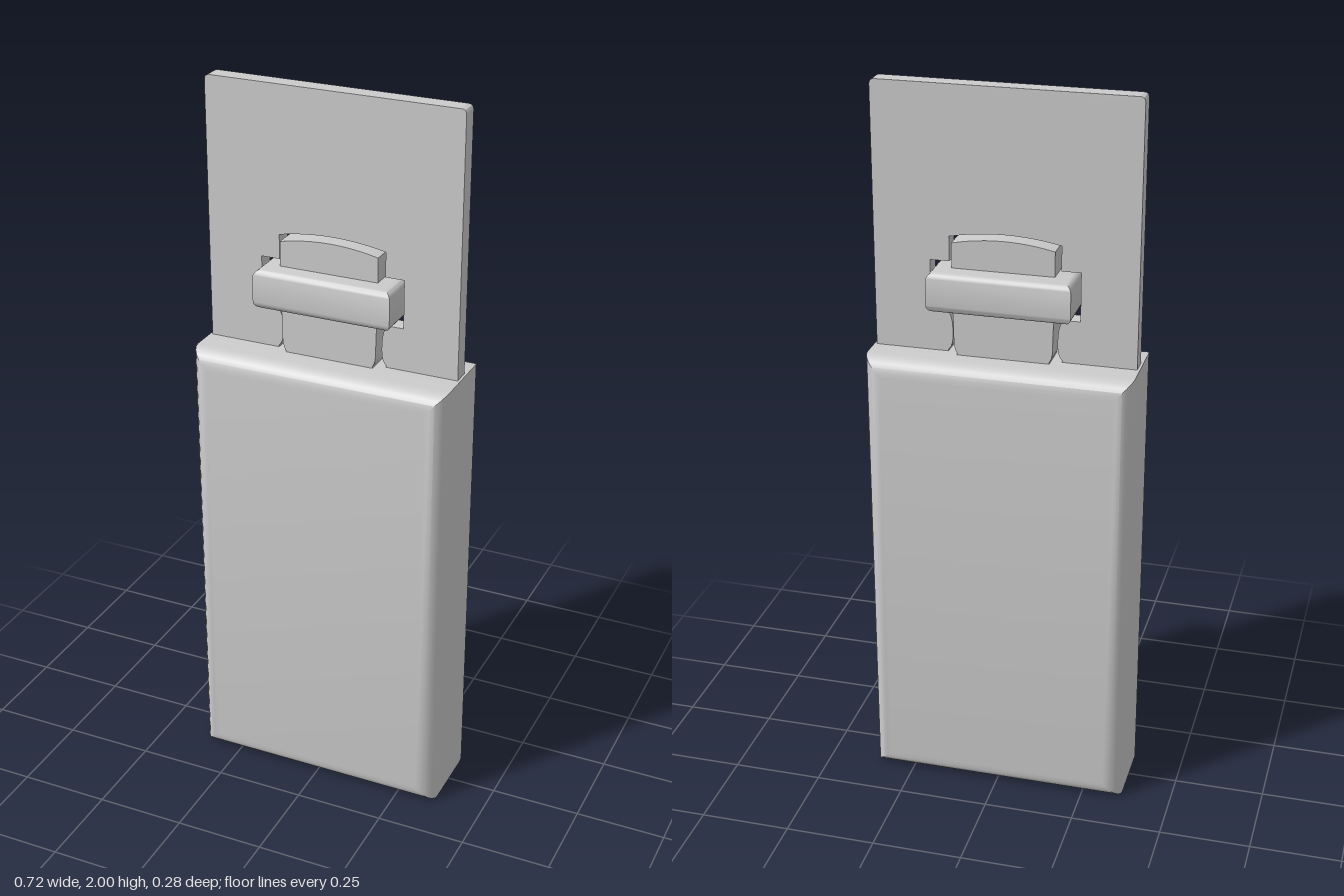
import * as THREE from 'three';
import { toCreasedNormals } from 'three/addons/utils/BufferGeometryUtils.js';

const material = new THREE.MeshStandardMaterial({ color: 0xcccccc });

// Extrudes a shape between two z values, rounding the front and back rims
function slab(name, shape, z0, z1, bevel = 0) {
  const geometry = new THREE.ExtrudeGeometry(shape, {
    depth: z1 - z0 - 2 * bevel,
    bevelEnabled: bevel > 0,
    bevelThickness: bevel,
    bevelSize: bevel,
    bevelOffset: -bevel,
    bevelSegments: 6,
    curveSegments: 12,
  });
  geometry.translate(0, 0, z0 + bevel);
  const mesh = new THREE.Mesh(toCreasedNormals(geometry, 0.6), material);
  mesh.name = name;
  return mesh;
}

function rectangle(x, y0, y1) {
  return new THREE.Shape([[-x, y0], [x, y0], [x, y1], [-x, y1]].map(p => new THREE.Vector2(...p)));
}

// Flat plate with softened top corners and a notch that follows the clasp
function plateShape() {
  const w = 0.355, bottom = 1.25, top = 2, r = 0.015;
  const s = new THREE.Shape();
  s.moveTo(0.155, bottom);
  s.lineTo(w, bottom);
  s.lineTo(w, top - r);
  s.quadraticCurveTo(w, top, w - r, top);
  s.lineTo(-w + r, top);
  s.quadraticCurveTo(-w, top, -w, top - r);
  s.lineTo(-w, bottom);
  s.lineTo(-0.155, bottom);
  s.lineTo(-0.155, 1.285);
  s.quadraticCurveTo(-0.142, 1.295, -0.142, 1.33);
  s.quadraticCurveTo(-0.142, 1.398, -0.165, 1.398);
  s.lineTo(-0.202, 1.398);
  s.lineTo(-0.202, 1.532);
  s.lineTo(-0.15, 1.532);
  s.lineTo(-0.15, 1.6);
  s.quadraticCurveTo(0, 1.632, 0.15, 1.6);
  s.lineTo(0.15, 1.532);
  s.lineTo(0.202, 1.532);
  s.lineTo(0.202, 1.398);
  s.lineTo(0.165, 1.398);
  s.quadraticCurveTo(0.142, 1.398, 0.142, 1.33);
  s.quadraticCurveTo(0.142, 1.295, 0.155, 1.285);
  return s;
}

// Clasp tongue: slightly waisted stem with an arched top
function tongueShape() {
  const s = new THREE.Shape();
  s.moveTo(-0.125, 1.25);
  s.lineTo(0.125, 1.25);
  s.lineTo(0.125, 1.285);
  s.quadraticCurveTo(0.134, 1.295, 0.134, 1.33);
  s.quadraticCurveTo(0.134, 1.39, 0.138, 1.41);
  s.lineTo(0.138, 1.59);
  s.quadraticCurveTo(0, 1.622, -0.138, 1.59);
  s.lineTo(-0.138, 1.41);
  s.quadraticCurveTo(-0.134, 1.39, -0.134, 1.33);
  s.quadraticCurveTo(-0.134, 1.295, -0.125, 1.285);
  return s;
}

export function createModel() {
  const model = new THREE.Group();
  model.name = 'clippedCase';

  model.add(slab('caseBody', rectangle(0.362, 0, 1.28), -0.14, 0.14, 0.05));
  model.add(slab('backingPlate', plateShape(), -0.03, 0.018));
  model.add(slab('claspTongue', tongueShape(), -0.051, 0.039));

  // Crossbar is extruded upwards, so its top and bottom rims are rounded
  const bar = slab('claspBar', rectangle(0.193, -0.092, 0.107), 1.412, 1.522, 0.022);
  bar.rotation.x = -Math.PI / 2;
  model.add(bar);

  return model;
}
